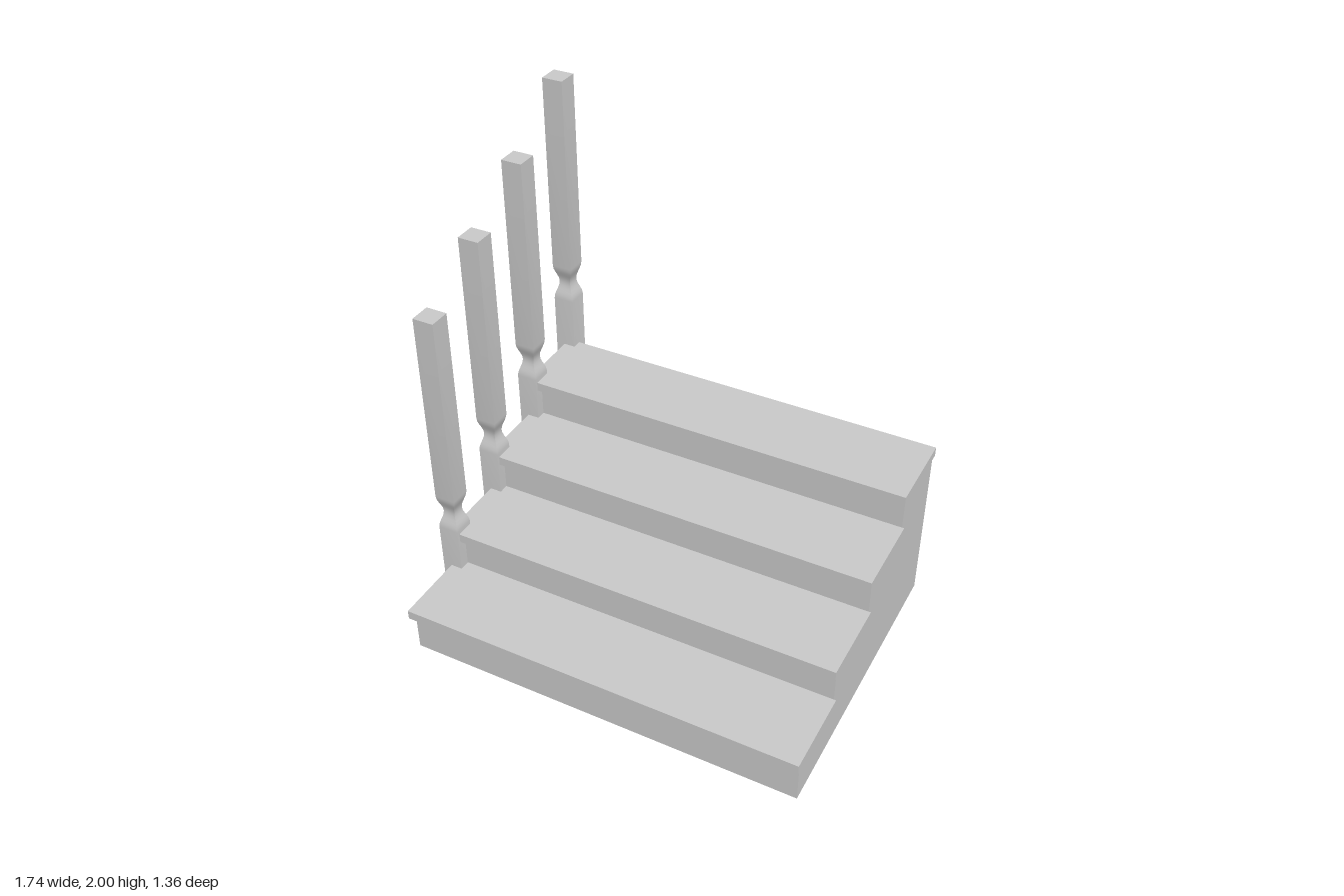
import * as THREE from 'three';
import { toCreasedNormals } from 'three/addons/utils/BufferGeometryUtils.js';

const STEPS = 4, RISE = 0.179, RUN = 0.319;
const X0 = -0.826, X1 = 0.858;        // outer faces of the side panels
const FRONT = 0.645, BACK = -0.632, FLOOR = 0.01;
const TREAD_T = 0.04, TREAD_TOP = 0.229;
const POST_X = -0.829, POST_HALF = 0.0445;

const solid = new THREE.MeshStandardMaterial({ color: 0xcccccc });
const sheet = new THREE.MeshStandardMaterial({ color: 0xcccccc, side: THREE.DoubleSide });

const riserZ = i => FRONT - i * RUN;
const treadTop = i => TREAD_TOP + i * RISE;

// Square post with a pinched neck; neck height is measured from its top
function postGeometry(bottom, top) {
  const neck = top - 0.925, reach = 0.08, r = Math.SQRT2;
  const pts = [new THREE.Vector2(0, bottom), new THREE.Vector2(POST_HALF * r, bottom)];
  for (let k = 0; k <= 10; k++) {
    const t = k / 5 - 1;
    const half = POST_HALF - 0.0185 * (1 + Math.cos(Math.PI * t)) / 2;
    pts.push(new THREE.Vector2(half * r, neck + t * reach));
  }
  pts.push(new THREE.Vector2(POST_HALF * r, top), new THREE.Vector2(0, top));
  return toCreasedNormals(new THREE.LatheGeometry(pts, 4, Math.PI / 4), 0.6);
}

export function createModel() {
  const group = new THREE.Group();
  const add = (name, geometry, material, x, y, z) => {
    const mesh = new THREE.Mesh(geometry, material);
    mesh.name = name;
    mesh.position.set(x, y, z);
    group.add(mesh);
    return mesh;
  };

  // Stepped side panels, drawn in (z, y) and turned to face sideways
  const outline = new THREE.Shape();
  outline.moveTo(BACK, FLOOR);
  outline.lineTo(FRONT, FLOOR);
  for (let i = 0; i < STEPS; i++) {
    const y = treadTop(i) - TREAD_T / 2;
    outline.lineTo(riserZ(i), y);
    outline.lineTo(i < STEPS - 1 ? riserZ(i + 1) : BACK, y);
  }
  outline.closePath();
  for (const [name, x] of [['rightSidePanel', X0], ['leftSidePanel', X1]]) {
    add(name, new THREE.ShapeGeometry(outline), sheet, x, 0, 0).rotation.y = -Math.PI / 2;
  }

  // Risers and overhanging treads; the back and underside stay open
  for (let i = 0; i < STEPS; i++) {
    const low = i ? treadTop(i - 1) - TREAD_T : FLOOR;
    const high = treadTop(i) - TREAD_T;
    add('riser' + (i + 1), new THREE.PlaneGeometry(X1 - X0, high - low), sheet,
      (X0 + X1) / 2, (low + high) / 2, riserZ(i));

    const zFront = riserZ(i) + 0.033, zBack = i < STEPS - 1 ? riserZ(i + 1) : BACK;
    add('tread' + (i + 1), new THREE.BoxGeometry(1.702, TREAD_T, zFront - zBack), solid,
      0.016, treadTop(i) - TREAD_T / 2, (zFront + zBack) / 2);
  }

  // Railing posts; the last one runs down to the ground behind the stairs
  for (let i = 0; i < STEPS; i++) {
    const last = i === STEPS - 1;
    add('post' + (i + 1),
      postGeometry(last ? 0 : 0.004 + i * RISE, last ? 2 : 1.43 + i * RISE),
      solid, POST_X, 0, 0.326 - i * 0.3205);
  }
  return group;
}
